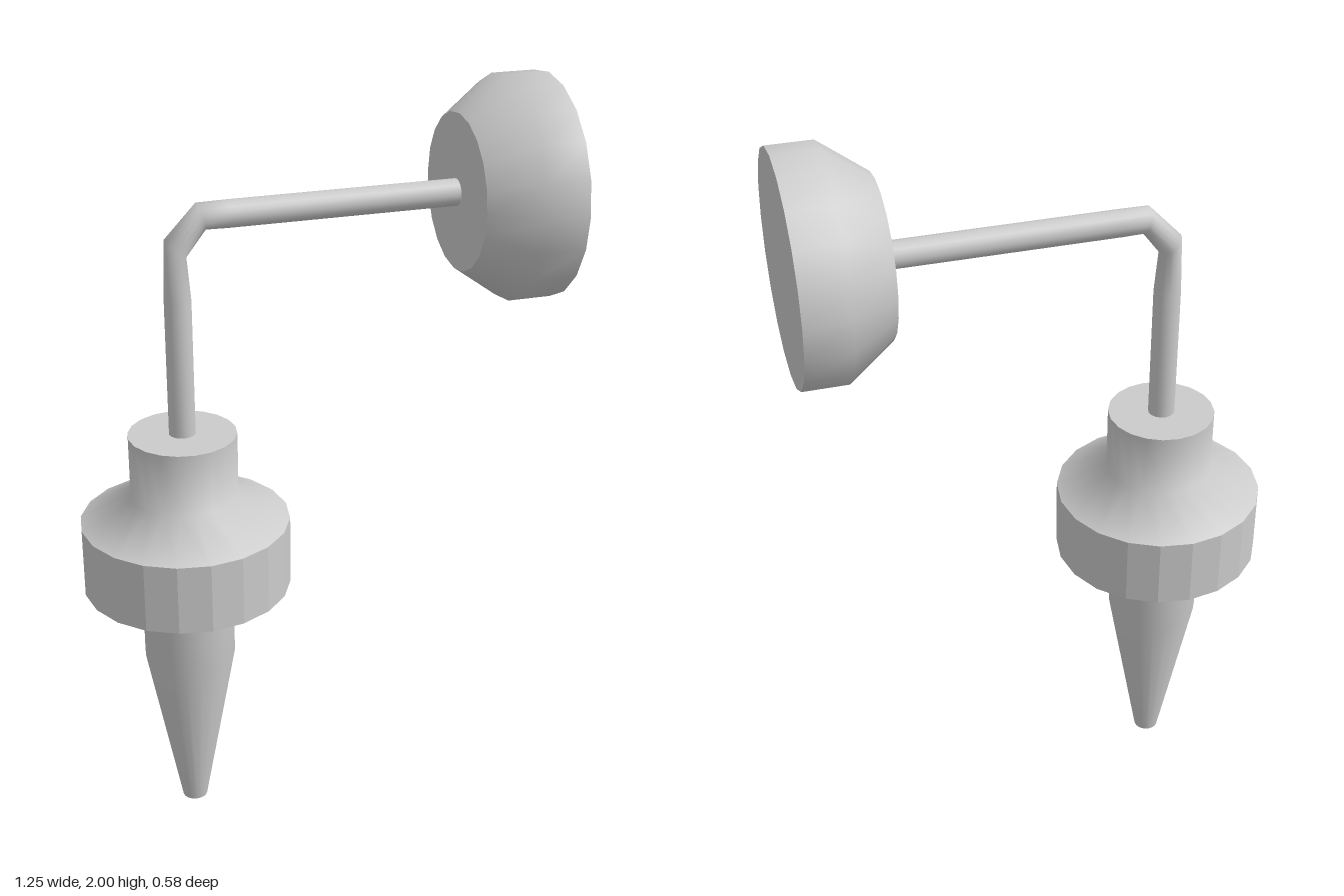
import * as THREE from 'three';

const SIDES = 20;
const AXIS_X = -0.35;

function makeMaterial(flat = false) {
  return new THREE.MeshStandardMaterial({ color: 0xcccccc, flatShading: flat, side: THREE.DoubleSide });
}

// One turned surface per profile, so edges between profiles stay sharp
function turned(name, profiles, flat = false) {
  const group = new THREE.Group();
  group.name = name;
  for (const profile of profiles) {
    const points = profile.map(([r, y]) => new THREE.Vector2(r, y));
    const mesh = new THREE.Mesh(new THREE.LatheGeometry(points, SIDES), makeMaterial(flat));
    mesh.name = name + 'Surface';
    group.add(mesh);
  }
  return group;
}

// Bent pipe: equal round rings along [x, y, tangent angle in degrees]
function bentPipe(rings, radius, sides) {
  const positions = [], index = [];
  rings.forEach(([x, y, degrees], i) => {
    const a = THREE.MathUtils.degToRad(degrees);
    for (let j = 0; j < sides; j++) {
      const t = (j / sides) * Math.PI * 2;
      const out = radius * Math.cos(t);
      positions.push(x - Math.sin(a) * out, y + Math.cos(a) * out, radius * Math.sin(t));
      if (i === 0) continue;
      const k = (j + 1) % sides, p = (i - 1) * sides, q = i * sides;
      index.push(p + j, p + k, q + j, p + k, q + k, q + j);
    }
  });
  const geometry = new THREE.BufferGeometry();
  geometry.setAttribute('position', new THREE.Float32BufferAttribute(positions, 3));
  geometry.setIndex(index);
  geometry.computeVertexNormals();
  return geometry;
}

export function createModel() {
  const model = new THREE.Group();
  model.name = 'spikedStakeWithArm';

  // Ground spike with a blunt tip
  const spike = turned('spike', [
    [[0, 0], [0.034, 0]],
    [[0.034, 0], [0.123, 0.48], [0.123, 0.89]],
  ]);

  // Neck flaring out over the collar
  const neck = turned('neck', [
    [[0.277, 0.89], [0.142, 0.962], [0.142, 1.135]],
    [[0.142, 1.135], [0, 1.135]],
  ]);

  // Faceted collar, hollow underneath
  const collar = turned('collar', [
    [[0, 0.885], [0.255, 0.885], [0.255, 0.7], [0.277, 0.7], [0.277, 0.89]],
  ], true);

  for (const part of [spike, neck, collar]) {
    part.position.x = AXIS_X;
    model.add(part);
  }

  // Pipe rising from the neck and turning toward the head
  const arm = new THREE.Mesh(
    bentPipe([
      [AXIS_X, 1.13, 90], [AXIS_X, 1.5, 90], [AXIS_X - 0.002, 1.633, 51],
      [-0.285, 1.71, 16], [-0.22, 1.71, 0], [0.39, 1.71, 0],
    ], 0.035, 16),
    makeMaterial()
  );
  arm.name = 'arm';
  model.add(arm);

  // Bevelled round head facing +x
  const head = turned('head', [
    [[0, 0], [0.203, 0]],
    [[0.203, 0], [0.29, 0.12], [0.29, 0.237]],
    [[0.29, 0.237], [0, 0.237]],
  ]);
  head.rotation.z = -Math.PI / 2;
  head.position.set(0.386, 1.71, 0);
  model.add(head);

  return model;
}
